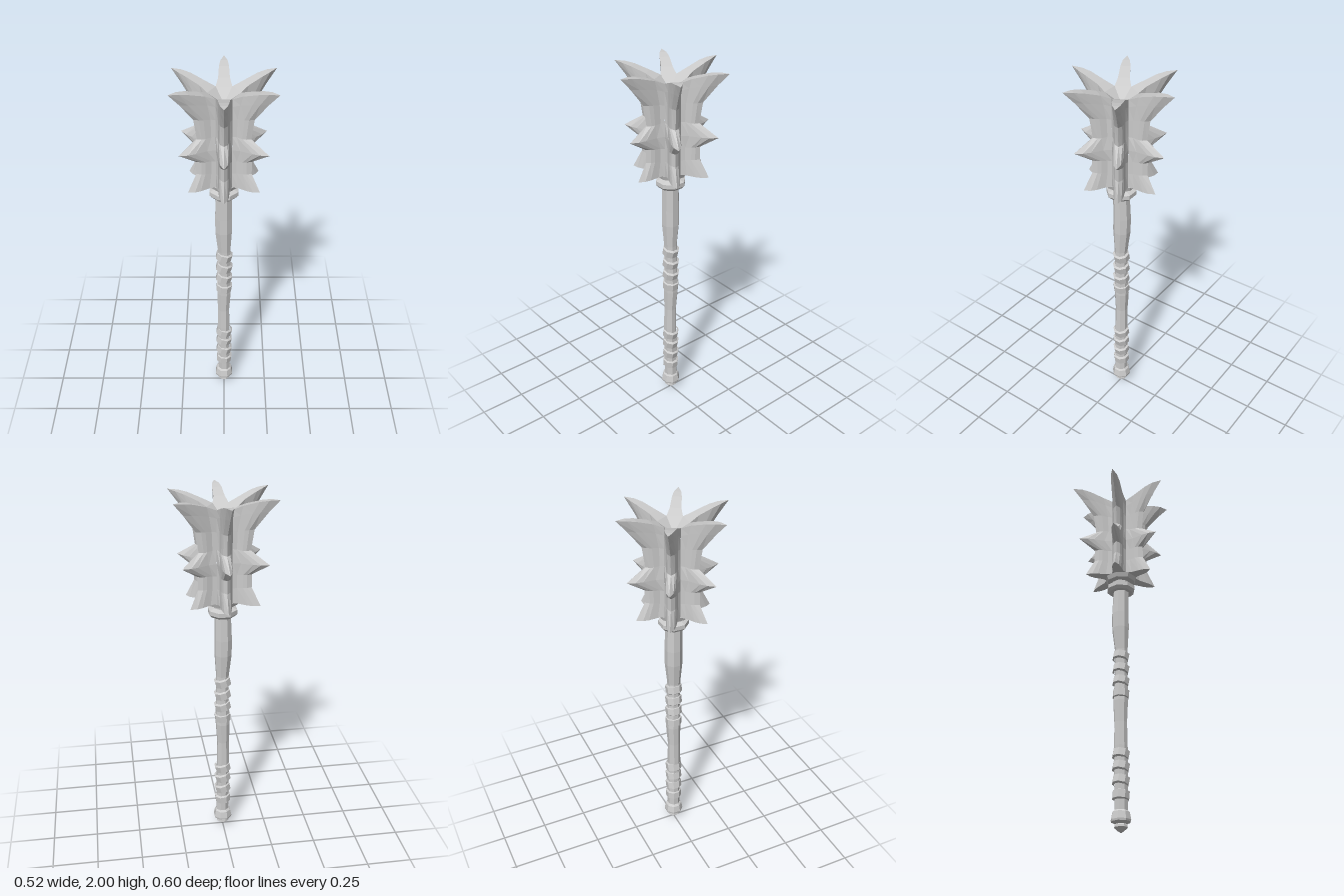
import * as THREE from 'three';

const material = new THREE.MeshStandardMaterial({ color: 0xcccccc, flatShading: true });
const SIDES = 8;

function addMesh(parent, geometry, name) {
  const mesh = new THREE.Mesh(geometry, material);
  mesh.name = name;
  parent.add(mesh);
  return mesh;
}

// Faceted turned part from [radius, y] pairs listed bottom to top
function turned(profile) {
  return new THREE.LatheGeometry(profile.map(([r, y]) => new THREE.Vector2(r, y)), SIDES, Math.PI / SIDES);
}

// One head blade pointing along +x: thick at the core, sharp at its spiked edge
function bladeGeometry() {
  // [edge radius, edge y, core y], top to bottom
  const rows = [
    [0.30, 2.0, 1.94], [0.243, 1.935, 1.9], [0.17, 1.84, 1.83], [0.153, 1.73, 1.74],
    [0.255, 1.665, 1.665], [0.16, 1.605, 1.6], [0.16, 1.535, 1.53], [0.21, 1.44, 1.45],
  ];
  // [fraction from core to edge, half thickness]
  const columns = [[0, 0.0404], [0.22, 0.029], [0.57, 0.025], [0.78, 0.018], [1, 0]];
  const core = 0.07;
  const last = 2 * (columns.length - 1);

  const rings = rows.map(([r, edgeY, coreY]) => {
    const ring = [];
    for (let i = 0; i <= last; i++) {
      const [f, w] = columns[Math.min(i, last - i)];
      const y = coreY + (edgeY - coreY) * (1 - Math.pow(1 - f, 1.8));
      ring.push([core + (r - core) * f, y, i < last / 2 ? -w : w]);
    }
    return ring;
  });

  const positions = [];
  const tri = (a, b, c) => positions.push(...a, ...b, ...c);

  // Blade sides
  for (let j = 0; j < rings.length - 1; j++) {
    for (let i = 0; i < last; i++) {
      const up = rings[j], low = rings[j + 1];
      tri(low[i], up[i], up[i + 1]);
      tri(low[i], up[i + 1], low[i + 1]);
    }
  }
  // Top and bottom faces, running in to the axis
  const cap = (ring, centerY, facingUp) => {
    const face = (a, b, c) => (facingUp ? tri(a, b, c) : tri(a, c, b));
    face([0, centerY, 0], ring[last], ring[0]);
    for (let i = 0; i < last / 2; i++) {
      face(ring[i], ring[last - i], ring[last - i - 1]);
      if (i + 1 < last / 2) face(ring[i], ring[last - i - 1], ring[i + 1]);
    }
  };
  cap(rings[0], 1.88, true);
  cap(rings[rings.length - 1], 1.45, false);

  const geometry = new THREE.BufferGeometry();
  geometry.setAttribute('position', new THREE.Float32BufferAttribute(positions, 3));
  geometry.computeVertexNormals();
  return geometry;
}

export function createModel() {
  const model = new THREE.Group();
  model.name = 'flangedMace';

  // Head: six blades around the axis
  const head = new THREE.Group();
  head.name = 'head';
  model.add(head);
  const blade = bladeGeometry();
  for (let i = 0; i < 6; i++) {
    addMesh(head, blade, `blade${i + 1}`).rotation.y = Math.PI / 6 + (i * Math.PI) / 3;
  }

  // Collar below the blades
  addMesh(model, turned([
    [0, 1.355], [0.066, 1.357], [0.08, 1.372], [0.08, 1.395], [0.05, 1.405],
    [0.05, 1.42], [0.08, 1.425], [0.09, 1.45], [0, 1.46],
  ]), 'collar');

  // Shaft, slightly uneven along its length
  const shaft = turned([
    [0.036, 0.08], [0.037, 0.45], [0.035, 0.58], [0.041, 0.7], [0.036, 0.85],
    [0.036, 1.0], [0.048, 1.13], [0.048, 1.22], [0.044, 1.38],
  ]);
  const pos = shaft.attributes.position;
  for (let i = 0; i < pos.count; i++) {
    const y = pos.getY(i);
    pos.setX(i, pos.getX(i) + 0.003 * Math.sin(y * 9));
    pos.setZ(i, pos.getZ(i) + 0.002 * Math.cos(y * 13));
  }
  shaft.computeVertexNormals();
  addMesh(model, shaft, 'shaft');

  // Two sets of slanted grip bands
  const band = turned([[0.034, -0.026], [0.045, -0.02], [0.046, 0.02], [0.034, 0.026]]);
  [0.19, 0.265, 0.338, 0.405, 0.74, 0.812, 0.885, 0.96].forEach((y, i) => {
    const wrap = addMesh(model, band, `gripBand${i + 1}`);
    wrap.position.y = y;
    wrap.rotation.z = i % 4 === 0 ? -0.1 : -0.25;
  });

  // Pommel with a pointed knob
  addMesh(model, turned([
    [0, 0], [0.018, 0.012], [0.036, 0.028], [0.034, 0.04], [0.028, 0.045],
    [0.052, 0.056], [0.054, 0.066], [0.046, 0.105], [0.034, 0.115], [0.034, 0.13],
  ]), 'pommel');

  return model;
}
